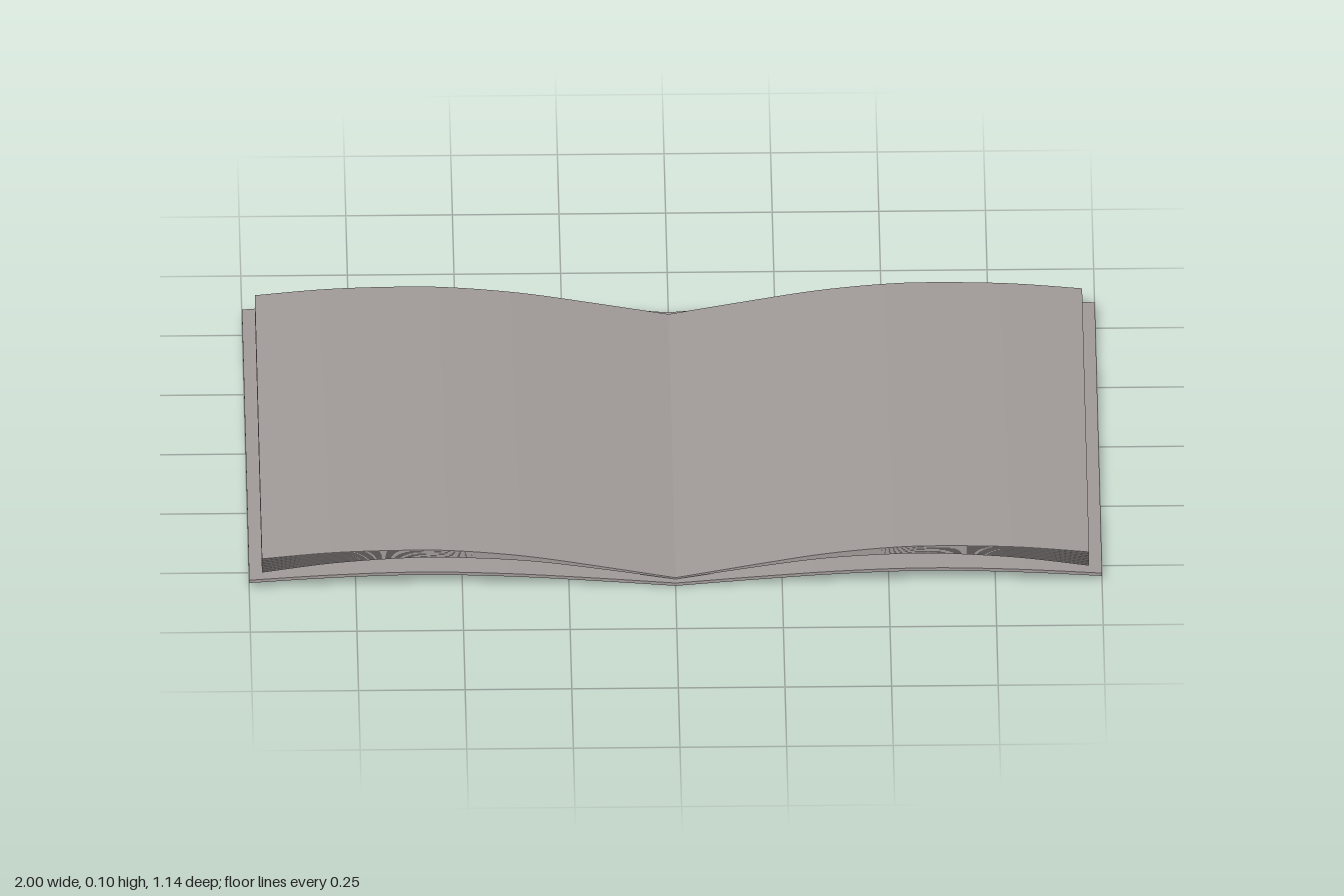
import * as THREE from 'three';
import { toCreasedNormals } from 'three/addons/utils/BufferGeometryUtils.js';

// Underside profiles, from the spine outwards (x, y)
const COVER = [[0, 0], [0.2, 0.017], [0.4, 0.031], [0.6, 0.037], [0.8, 0.031], [1, 0.018]];
const LOW_PAGE = [[0, 0.009], [0.2, 0.043], [0.35, 0.064], [0.5, 0.074], [0.62, 0.075], [0.8, 0.062], [0.97, 0.037]];
const TOP_PAGE = [[0, 0.011], [0.2, 0.049], [0.35, 0.075], [0.5, 0.091], [0.62, 0.095], [0.8, 0.09], [0.97, 0.074]];
const SHEETS = 9;

// Thin curved sheet following a profile, running along z
function sheetGeometry(profile, side, thickness, depth, steps) {
  const curve = new THREE.SplineCurve(profile.map(([x, y]) => new THREE.Vector2(x * side, y)));
  const lower = curve.getPoints(steps);
  const upper = lower.map((p) => new THREE.Vector2(p.x, p.y + thickness)).reverse();
  const geometry = new THREE.ExtrudeGeometry(new THREE.Shape([...lower, ...upper]), {
    depth, bevelEnabled: false, steps: 1,
  });
  geometry.translate(0, 0, -depth / 2);
  return toCreasedNormals(geometry, 0.5);
}

export function createModel() {
  const book = new THREE.Group();
  book.name = 'openBook';
  const paper = new THREE.MeshStandardMaterial({ color: 0xa09a98 });
  paper.name = 'warm grey';

  for (const [label, side] of [['left', 1], ['right', -1]]) {
    // Cover board
    const cover = new THREE.Mesh(sheetGeometry(COVER, side, 0.008, 1.14, 30), paper);
    cover.name = `${label}Cover`;
    book.add(cover);

    // Pages fanning out between the lowest and the top profile
    const pages = new THREE.Group();
    pages.name = `${label}Pages`;
    for (let i = 0; i < SHEETS; i++) {
      const t = i / (SHEETS - 1);
      const profile = LOW_PAGE.map(([x, y], k) => [x, THREE.MathUtils.lerp(y, TOP_PAGE[k][1], t)]);
      const page = new THREE.Mesh(sheetGeometry(profile, side, 0.002, 1.11, 30), paper);
      page.name = `${label}Page${i + 1}`;
      pages.add(page);
    }
    book.add(pages);
  }
  return book;
}
